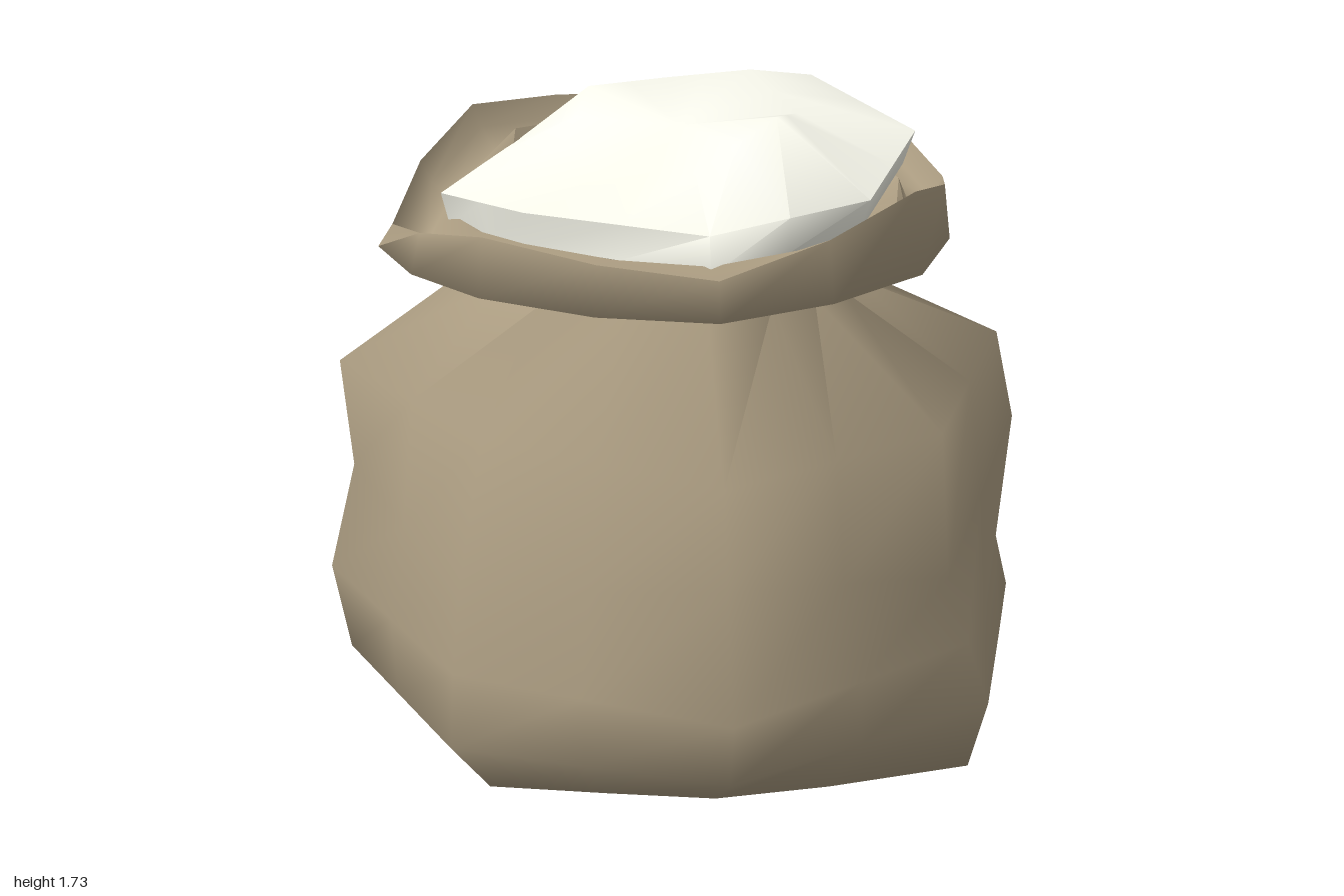
import * as THREE from 'three';
import { toCreasedNormals } from 'three/addons/utils/BufferGeometryUtils.js';

const CX = -0.02;

// value at direction j of 16, from a scalar or 8 values (E, SE, S, SW, W, NW, N, NE)
function at(v, j) {
  if (typeof v === 'number') return v;
  const k = j >> 1;
  return j % 2 ? (v[k] + v[(k + 1) % 8]) / 2 : v[k];
}

// skin over rings of [radii, heights, roundness between the 8 main directions]
function loft(rings, crease) {
  const N = 16, pos = [], idx = [];
  rings.forEach(([r, y, round = 0], i) => {
    for (let j = 0; j < N; j++) {
      const a = (j / N) * Math.PI * 2;
      const flat = j % 2 ? Math.cos(Math.PI / 8) : 1;
      const rad = at(r, j) * (flat + (1 - flat) * round);
      pos.push(CX + rad * Math.cos(a), at(y, j), rad * Math.sin(a));
      if (i === 0) continue;
      const b = i * N + j, b2 = i * N + (j + 1) % N;
      idx.push(b - N, b, b2 - N, b2 - N, b, b2);
    }
  });
  const g = new THREE.BufferGeometry();
  g.setAttribute('position', new THREE.Float32BufferAttribute(pos, 3));
  g.setIndex(idx);
  return toCreasedNormals(g, crease);
}

function part(name, geometry, color) {
  const material = new THREE.MeshStandardMaterial({ color, side: THREE.DoubleSide });
  const mesh = new THREE.Mesh(geometry, material);
  mesh.name = name;
  return mesh;
}

export function createModel() {
  const group = new THREE.Group();
  group.name = 'openSack';

  // sagging body, from the uneven underside up to the tied-in neck
  const body = [
    [0, 0.04],
    [0.46, [0.04, 0, 0.03, 0.02, 0.04, 0.03, 0.03, 0.03]],
    [[0.97, 0.74, 0.82, 0.8, 0.84, 0.83, 0.9, 0.76], [0.06, 0.05, 0.03, 0.06, 0.06, 0.06, 0.09, 0.07]],
    [[1.02, 1, 0.96, 0.94, 0.98, 0.93, 0.94, 0.96], [0.27, 0.26, 0.22, 0.15, 0.18, 0.18, 0.2, 0.22]],
    [[0.95, 1.05, 0.94, 0.98, 0.915, 1.01, 0.945, 0.92], [0.43, 0.46, 0.43, 0.41, 0.4, 0.36, 0.4, 0.38]],
    [[0.88, 0.92, 0.905, 0.9, 0.86, 1.01, 0.95, 0.945], [0.6, 0.76, 0.65, 0.72, 0.6, 0.72, 0.6, 0.76]],
    [[0.84, 0.85, 0.8, 0.92, 0.86, 0.9, 0.84, 0.885], [1, 1, 1.04, 1.03, 1, 1.03, 1, 1.02]],
    [[0.44, 0.54, 0.58, 0.52, 0.46, 0.5, 0.45, 0.48], [1.27, 1.34, 1.32, 1.31, 1.27, 1.22, 1.12, 1.2], 0.5],
  ];
  // flared collar, folding in to a shallow valley and a lip around the contents
  const rim = [0.73, 0.75, 0.77, 0.76, 0.74, 0.75, 0.73, 0.71];
  const rimY = [1.62, 1.5, 1.56, 1.41, 1.57, 1.52, 1.58, 1.48];
  const collar = [
    [[0.76, 0.77, 0.79, 0.8, 0.78, 0.78, 0.76, 0.72], [1.41, 1.4, 1.41, 1.35, 1.41, 1.4, 1.41, 1.4], 0.7],
    [rim, rimY, 0.7],
    [rim.map((r) => r - 0.03), rimY.map((y) => y - 0.06), 0.7],
    [rim.map((r) => r - 0.09), [1.45, 1.42, 1.43, 1.36, 1.44, 1.43, 1.45, 1.41], 0.7],
    [[0.6, 0.6, 0.62, 0.6, 0.58, 0.6, 0.59, 0.59], [1.5, 1.48, 1.5, 1.43, 1.53, 1.5, 1.51, 1.48], 0.7],
    [0.5, 1.4, 0.7],
  ];
  group.add(part('sack', loft([...body, ...collar], 1.8), 0xab9c81));

  // pale contents heaped in the opening, higher towards the back
  const base = [0.57, 0.61, 0.6, 0.61, 0.54, 0.6, 0.57, 0.6];
  const edge = [0.6, 0.58, 0.62, 0.63, 0.57, 0.63, 0.6, 0.63];
  const edgeY = [1.57, 1.55, 1.58, 1.49, 1.5, 1.58, 1.65, 1.61];
  const contents = [
    [0, 1.38],
    [base, edgeY.map((y) => y - 0.09)],
    [edge, edgeY],
    [0.31, [1.73, 1.62, 1.6, 1.6, 1.7, 1.69, 1.73, 1.67]],
    [0, 1.65],
  ];
  group.add(part('contents', loft(contents, 1.1), 0xfbfbef));

  return group;
}
